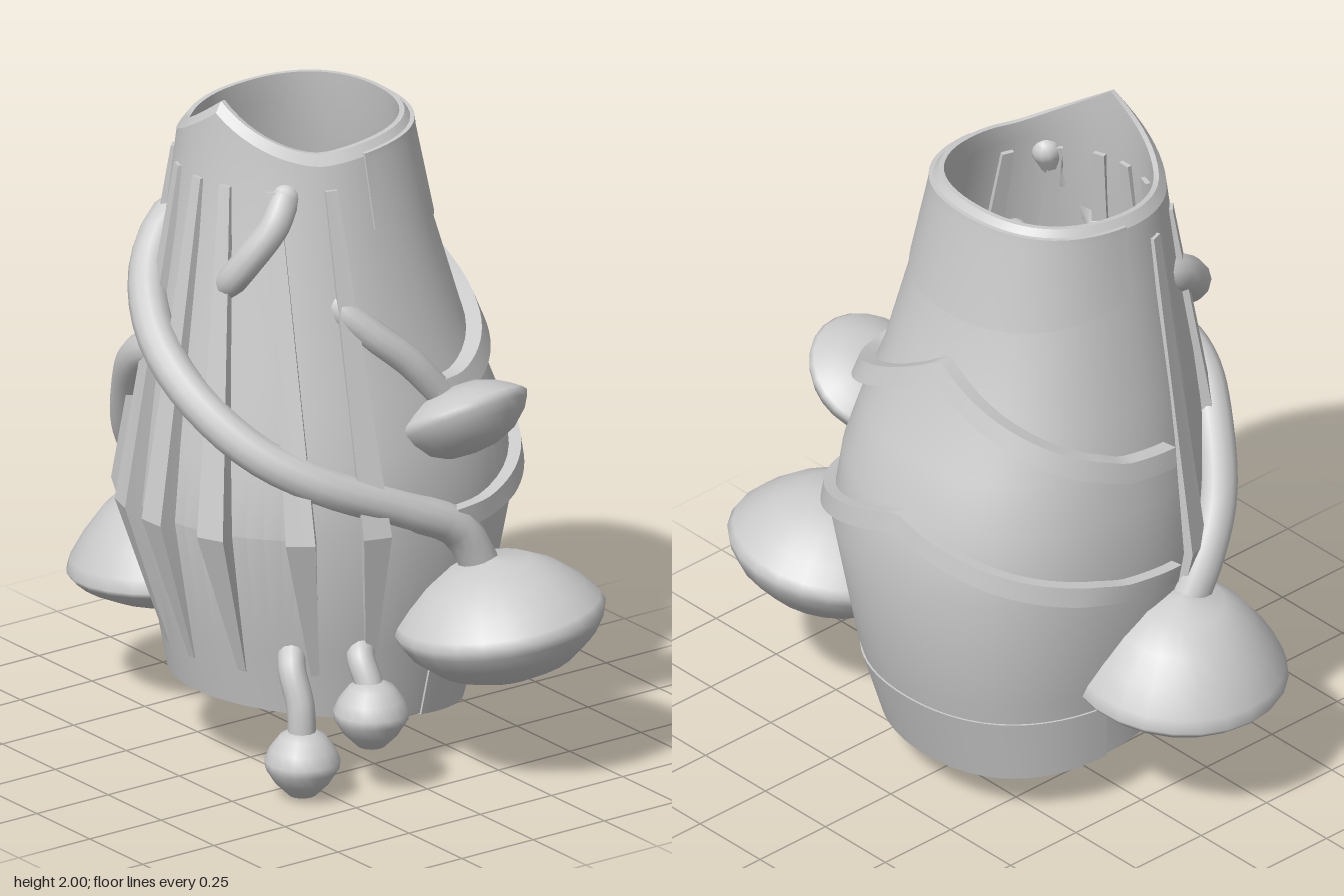
import * as THREE from 'three';
import { toCreasedNormals } from 'three/addons/utils/BufferGeometryUtils.js';

const grey = new THREE.MeshStandardMaterial({ color: 0xcccccc });
const V = (x, y, z) => new THREE.Vector3(x, y, z);
const { PI, sin, cos, abs, max } = Math;

// Barrel outline: height, right x, left x, back z, front z
const outline = [
  [0.1, -0.44, 0.345, -0.4, 0.385],
  [0.4, -0.47, 0.395, -0.495, 0.455],
  [0.78, -0.545, 0.47, -0.56, 0.54],
  [1.0, -0.52, 0.44, -0.53, 0.51],
  [1.15, -0.5, 0.41, -0.47, 0.488],
  [1.3, -0.475, 0.37, -0.405, 0.465],
  [1.6, -0.42, 0.31, -0.315, 0.415],
  [1.84, -0.385, 0.262, -0.275, 0.385],
  [2.0, -0.375, 0.25, -0.255, 0.375],
];

// Point on the barrel at angle t (0 = front, growing towards +x), pushed out by a distance;
// the back half is slightly squarer than an ellipse
function onBarrel(t, y, out = 0) {
  let i = 0;
  while (i < outline.length - 2 && y > outline[i + 1][0]) i++;
  const a = outline[i], b = outline[i + 1];
  const f = (y - a[0]) / (b[0] - a[0]);
  const [x0, x1, z0, z1] = [1, 2, 3, 4].map((k) => a[k] + (b[k] - a[k]) * f);
  const full = cos(t) < 0 ? 1 + 0.045 * sin(2 * t) ** 2 : 1;
  return V((x0 + x1) / 2 + ((x1 - x0) / 2 * full + out) * sin(t), y,
    (z0 + z1) / 2 + ((z1 - z0) / 2 * full + out) * cos(t));
}

// Skin through a row of equal closed loops, with flat end caps if wanted
function loft(name, loops, capped, crease = 0.36) {
  const n = loops[0].length, index = [];
  for (let i = 0; i < loops.length - 1; i++) {
    for (let k = 0; k < n; k++) {
      const a = i * n + k, b = i * n + (k + 1) % n, c = b + n, d = a + n;
      index.push(a, d, c, a, c, b);
    }
  }
  if (capped) {
    const e = (loops.length - 1) * n;
    for (let k = 0; k < n / 2 - 1; k++) {
      const a = k, b = k + 1, c = n - 2 - k, d = n - 1 - k;
      index.push(a, b, c, a, c, d);
      index.push(e + a, e + c, e + b, e + a, e + d, e + c);
    }
  }
  const g = new THREE.BufferGeometry();
  g.setAttribute('position', new THREE.Float32BufferAttribute(loops.flat().flatMap((p) => p.toArray()), 3));
  g.setIndex(index);
  const mesh = new THREE.Mesh(toCreasedNormals(g, crease), grey);
  mesh.name = name;
  return mesh;
}

// Curved wall around the barrel; heights(t) lists its levels from bottom to top,
// and bevel pulls the top outer edge inwards
function shell(name, t0, t1, steps, heights, inner, outer, bevel = 0) {
  const loops = [];
  for (let i = 0; i <= steps; i++) {
    const t = t0 + (t1 - t0) * i / steps, ys = heights(t);
    loops.push([
      ...ys.map((y, k) => onBarrel(t, y, k === ys.length - 1 ? outer - bevel : outer)),
      ...ys.slice().reverse().map((y) => onBarrel(t, y, inner)),
    ]);
  }
  return loft(name, loops, t1 - t0 < 2 * PI - 0.01);
}

// Round stem along a smooth path with rounded ends
function stem(name, points, r) {
  const group = new THREE.Group();
  group.name = name;
  const curve = new THREE.CatmullRomCurve3(points.map((p) => V(...p)));
  group.add(new THREE.Mesh(new THREE.TubeGeometry(curve, 32, r, 12), grey));
  for (const p of [points[0], points[points.length - 1]]) {
    const end = new THREE.Mesh(new THREE.SphereGeometry(r, 12, 8), grey);
    end.position.set(...p);
    group.add(end);
  }
  return group;
}

// Mushroom cap: a dome above its rim and a rounded underside
function cap(name, pos, r, up, down, tiltX, tiltZ) {
  const under = [[0, 1], [0.35, 0.94], [0.65, 0.74], [0.88, 0.4], [0.97, 0.15]].map(([x, y]) => [x, -y * down]);
  const dome = [[1, 0], [0.96, 0.14], [0.82, 0.4], [0.63, 0.68], [0.38, 0.91], [0, 1]].map(([x, y]) => [x, y * up]);
  const profile = [...under, ...dome].map(([x, y]) => new THREE.Vector2(x * r, y));
  const mesh = new THREE.Mesh(new THREE.LatheGeometry(profile, 24), grey);
  mesh.position.set(...pos);
  mesh.rotation.set(tiltX, 0, tiltZ);
  mesh.name = name;
  return mesh;
}

export function createModel() {
  const model = new THREE.Group();
  const wrap = (t) => Math.atan2(sin(t), cos(t));

  // Hollow barrel with a slanted foot and a bevelled lip that rises to a point at the front
  const foot = (t) => 0.175 + 0.055 * cos(t);
  const lip = (t) => 1.85 + 0.025 * (1 - cos(t)) + 0.15 * max(0, 1 - abs(wrap(t - PI / 16)) / 1.05) ** 1.5;
  model.add(shell('barrel', 0, 2 * PI, 64,
    (t) => [foot(t), 0.4, 0.78, 1.0, 1.15, 1.3, 1.6, 1.8, lip(t) - 0.03, lip(t)], -0.035, 0, 0.02));

  // Bands around the back at the neck and the foot
  model.add(shell('neckBand', 1.6, 2 * PI - 1.6, 36,
    (t) => [1.64 + 0.07 * cos(t), 1.84, lip(t) - 0.02], -0.012, 0.006));
  model.add(shell('footBand', 1.75, 2 * PI - 1.75, 36,
    (t) => [foot(t) - 0.003, 0.34], -0.04, 0.006));

  // Two wavy collars that rise to a point at the back
  const peak = (t) => max(0, 1 - abs(t - PI - 0.1) / 1.3) ** 1.25;
  const collars = [['upperCollar', 1.13, 0.27, 0.045], ['lowerCollar', 0.755, 0.2, 0.035]];
  for (const [name, base, rise, out] of collars) {
    model.add(shell(name, 1.75, 2 * PI - 1.4, 56, (t) => {
      const y = base + rise * peak(t) - 0.06 * max(0, t - 4.4);
      return [y, y + 0.06];
    }, -0.01, out));
  }

  // Bent slats on the front, given by their top and bottom angles and how far they stand out
  const slats = [[-1.25, -1.2, 0.025], [-0.78, -0.7, 0.045], [-0.32, -0.26, 0.05], [0.03, 0.05, 0.05],
    [0.34, 0.47, 0.05], [0.77, 0.95, 0.045], [1.25, 1.3, 0.025]];
  for (const [top, bottom, bulge] of slats) {
    const stations = [[0.34, 0.012, 0.003, bottom], [0.78, 0.042, bulge, (top + 2 * bottom) / 3], [1.77, 0.018, 0.01, top]];
    const loops = stations.map(([y, w, out, t]) => {
      const corner = (s, o) => onBarrel(t, y, o).add(V(s * w * cos(t), 0, -s * w * sin(t)));
      return [corner(1, out), corner(-1, out), corner(-1, -0.05), corner(1, -0.05)];
    });
    model.add(loft('slat', loops, true, 0.2));
  }

  // Vines winding over the barrel, their upper ends rooted inside it
  model.add(stem('longVine', [
    [-0.28, 1.58, 0.14], [-0.31, 1.56, 0.29], [-0.25, 1.45, 0.42], [-0.1, 1.31, 0.51], [0.07, 1.18, 0.515],
    [0.25, 1.04, 0.43], [0.37, 0.94, 0.28], [0.44, 0.83, 0.03], [0.46, 0.74, -0.14], [0.47, 0.6, -0.22]], 0.057));
  model.add(stem('rightVine', [
    [-0.1, 1.26, 0.36], [-0.18, 1.23, 0.43], [-0.28, 1.17, 0.43], [-0.39, 1.04, 0.38],
    [-0.48, 0.87, 0.31], [-0.52, 0.72, 0.22], [-0.52, 0.58, 0.14]], 0.057));
  model.add(stem('topVine', [
    [0.18, 1.75, 0.26], [0.19, 1.67, 0.31], [0.15, 1.57, 0.37], [0.1, 1.5, 0.39], [0.03, 1.45, 0.36]], 0.045));
  model.add(stem('leftVine', [
    [0.2, 1.5, 0.16], [0.29, 1.43, 0.16], [0.35, 1.35, 0.09], [0.39, 1.25, -0.02], [0.41, 1.12, -0.13]], 0.044));

  // Large caps at the vine ends
  model.add(cap('leftCap', [0.53, 0.48, -0.23], 0.305, 0.175, 0.18, 0.1, 0.1));
  model.add(cap('rightCap', [-0.515, 0.4, 0.125], 0.315, 0.26, 0.1, 0, 0.1));
  model.add(cap('upperCap', [0.42, 1.07, -0.175], 0.2, 0.08, 0.12, 0.05, 0.55));

  // Two small mushrooms hanging from the foot
  const bud = [[0, 0], [0.04, 0.01], [0.08, 0.05], [0.105, 0.09], [0.108, 0.115],
    [0.092, 0.15], [0.065, 0.185], [0.035, 0.2], [0, 0.205]].map(([x, y]) => new THREE.Vector2(x, y));
  for (const [x, y, z, height] of [[0.34, 0, 0.32, 0.42], [0.43, 0.135, 0.145, 0.29]]) {
    model.add(stem('budStem', [
      [x - 0.09, y + height, z - 0.03], [x - 0.05, y + height * 0.88, z],
      [x - 0.01, y + height * 0.65, z], [x, y + 0.14, z]], 0.04));
    const head = new THREE.Mesh(new THREE.LatheGeometry(bud, 18), grey);
    head.position.set(x, y, z);
    head.name = 'budHead';
    model.add(head);
  }
  return model;
}
